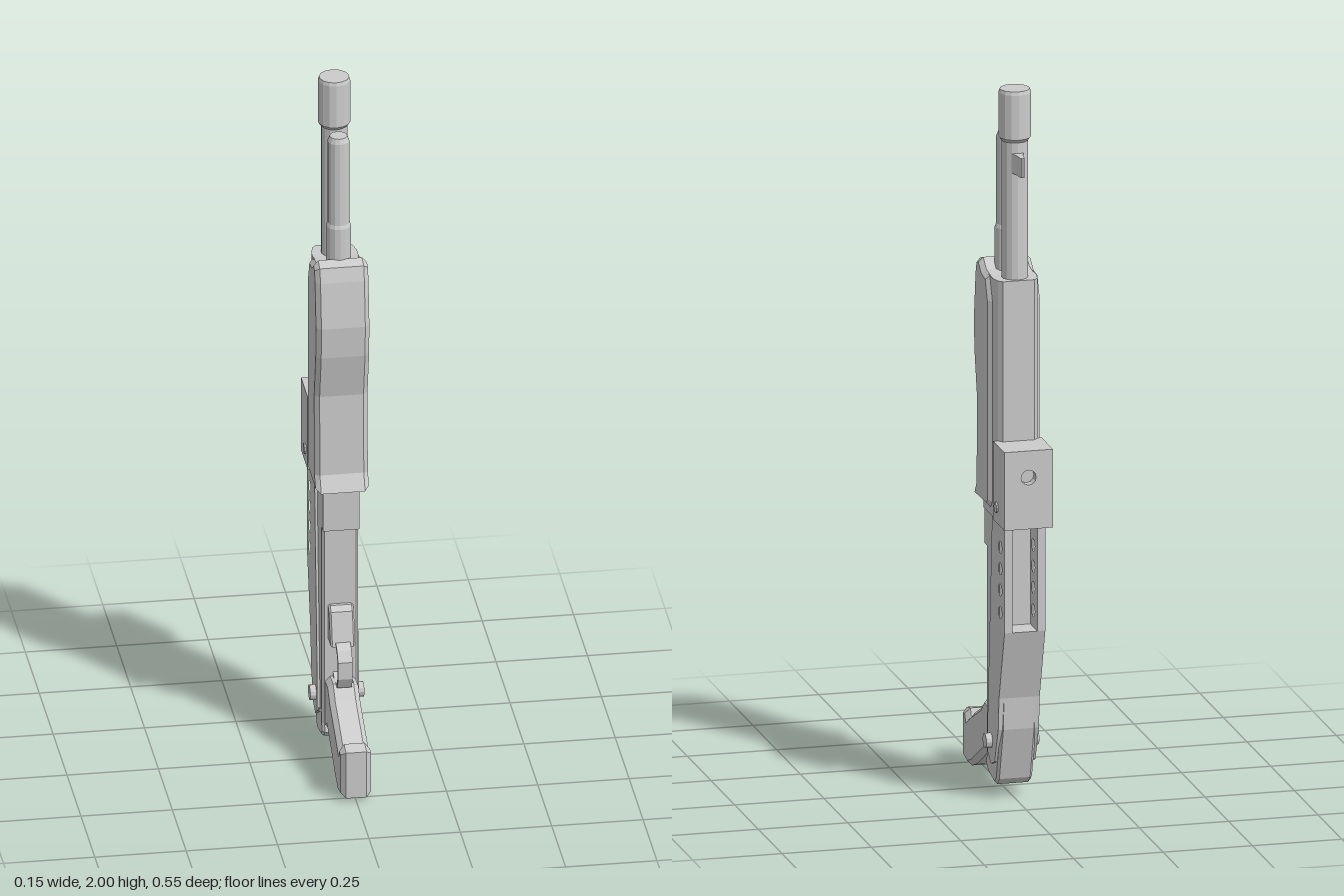
import * as THREE from 'three';

const material = new THREE.MeshStandardMaterial({ color: 0xcccccc, flatShading: true });

export function createModel() {
  const model = new THREE.Group();

  const add = (name, geometry, x = 0, y = 0, z = 0) => {
    const mesh = new THREE.Mesh(geometry, material);
    mesh.name = name;
    mesh.position.set(x, y, z);
    model.add(mesh);
    return mesh;
  };

  // Side outline given as [z, y], extruded across x and centred on x
  const sideShape = (points) => new THREE.Shape(points.map(([z, y]) => new THREE.Vector2(-z, y)));
  const acrossX = (shape, halfWidth, bevel = 0) => {
    const geometry = new THREE.ExtrudeGeometry(shape, {
      depth: 2 * (halfWidth - bevel), bevelEnabled: bevel > 0, bevelSegments: 1,
      bevelSize: bevel, bevelThickness: bevel, bevelOffset: -bevel, curveSegments: 6,
    });
    geometry.translate(0, 0, -(halfWidth - bevel));
    return geometry.rotateY(Math.PI / 2);
  };

  // Half cross-section given as [x, z], mirrored in x and extruded up y
  const alongY = (half, y0, y1) => {
    const all = [...half, ...half.map(([x, z]) => [-x, z]).reverse()];
    const shape = new THREE.Shape(all.map(([x, z]) => new THREE.Vector2(x, -z)));
    const geometry = new THREE.ExtrudeGeometry(shape, { depth: y1 - y0, bevelEnabled: false });
    return geometry.rotateX(-Math.PI / 2).translate(0, y0, 0);
  };

  const lathe = (points, sides) =>
    new THREE.LatheGeometry(points.map(([r, y]) => new THREE.Vector2(r, y)), sides);

  // Barrel with a wider muzzle, and the tube beneath it
  add('barrel', lathe([[0.036, 1.4], [0.036, 1.855], [0.044, 1.865], [0.044, 1.99], [0.041, 2], [0, 2]], 14), 0, 0, -0.127);
  add('magazineTube', lathe([[0.034, 1.4], [0.034, 1.59], [0.03, 1.6], [0.03, 1.845], [0.024, 1.86], [0, 1.86]], 14), 0, 0, -0.048);
  add('frontSight', alongY([[0.02, -0.15], [0.009, -0.18], [0.006, -0.208], [0.003, -0.213]], 1.77, 1.825));

  // Chamfered cover around the barrel
  add('barrelCover', alongY([[0.062, -0.03], [0.062, -0.13], [0.055, -0.158], [0.044, -0.171]], 0.8, 1.47));

  // Pump grip with a gently waved front
  add('forend', acrossX(sideShape([
    [0.037, 0.82], [0.013, 0.865], [0.008, 1.1], [0.036, 1.23], [0.041, 1.32], [0.024, 1.45],
    [0.012, 1.49], [-0.02, 1.5], [-0.055, 1.475], [-0.1, 1.47], [-0.127, 1.405], [-0.127, 0.84], [-0.11, 0.82],
  ]), 0.073, 0.013));

  // Receiver, solid at the back below the open stock channel
  add('receiver', acrossX(sideShape([
    [-0.015, 0.84], [-0.015, 0.1], [-0.008, 0.075], [-0.03, 0.055], [-0.105, 0.04], [-0.127, 0.06],
    [-0.17, 0.21], [-0.176, 0.3], [-0.235, 0.5], [-0.16, 0.5], [-0.16, 0.84],
  ]), 0.05, 0.007));
  add('loadingPlate', new THREE.BoxGeometry(0.1, 0.14, 0.03), 0, 0.76, -0.011);

  // Folding stock arms, each with four holes
  const arm = sideShape([
    [-0.105, 0.82], [-0.235, 0.82], [-0.235, 0.5], [-0.176, 0.3], [-0.168, 0.21],
    [-0.13, 0.11], [-0.09, 0.095], [-0.055, 0.12], [-0.055, 0.2],
  ]);
  for (const y of [0.73, 0.67, 0.61, 0.547]) {
    arm.holes.push(new THREE.Path().absarc(0.19, y, 0.017, 0, Math.PI * 2, true));
  }
  for (const side of [-1, 1]) {
    add('stockArm', acrossX(arm, 0.011), side * 0.046);
    const pin = add('pivotPin', new THREE.CylinderGeometry(0.021, 0.021, 0.03, 12), side * 0.059, 0.16, -0.088);
    pin.rotation.z = Math.PI / 2;
    const screw = add('buttScrew', new THREE.CylinderGeometry(0.015, 0.015, 0.02, 10), side * 0.063, 0.845, -0.195);
    screw.rotation.z = Math.PI / 2;
    const rib = add('receiverRib', new THREE.BoxGeometry(0.008, 0.01, 0.085), side * 0.05, 0.12, -0.065);
    rib.rotation.x = -0.36;
  }

  // Butt block with a round socket in its back
  add('buttBlock', new THREE.BoxGeometry(0.136, 0.22, 0.095), 0, 0.91, -0.2025);
  const plate = new THREE.Shape([[-0.068, 0.8], [0.068, 0.8], [0.068, 1.02], [-0.068, 1.02]]
    .map(([x, y]) => new THREE.Vector2(x, y)));
  plate.holes.push(new THREE.Path().absarc(0, 0.945, 0.021, 0, Math.PI * 2, true));
  add('buttPlate', new THREE.ExtrudeGeometry(plate, { depth: 0.025, bevelEnabled: false, curveSegments: 6 }), 0, 0, -0.275);

  // Trigger guard: a block above a thin loop
  add('guardBlock', acrossX(sideShape([[-0.03, 0.46], [-0.005, 0.46], [0.011, 0.447], [0.036, 0.353], [-0.03, 0.353]]), 0.034, 0.005));
  const guard = sideShape([
    [-0.025, 0.365], [0.036, 0.365], [0.058, 0.352], [0.077, 0.325], [0.077, 0.275], [0.06, 0.242], [0.01, 0.23], [-0.025, 0.235],
  ]);
  guard.holes.push(new THREE.Path([
    [-0.016, 0.345], [0.02, 0.36], [0.05, 0.345], [0.069, 0.32], [0.069, 0.28], [0.052, 0.25], [0.01, 0.242], [-0.016, 0.255],
  ].map(([z, y]) => new THREE.Vector2(-z, y))));
  add('triggerGuard', acrossX(guard, 0.02));

  // Pistol grip with a hooked heel
  add('grip', acrossX(sideShape([
    [-0.04, 0.24], [0.04, 0.245], [0.08, 0.21], [0.18, 0.163], [0.225, 0.138], [0.235, 0.16], [0.275, 0.152],
    [0.275, 0.015], [0.215, 0.004], [0.165, 0.022], [0.06, 0.08], [0.02, 0.102], [-0.04, 0.07],
  ]), 0.042, 0.014));

  return model;
}
